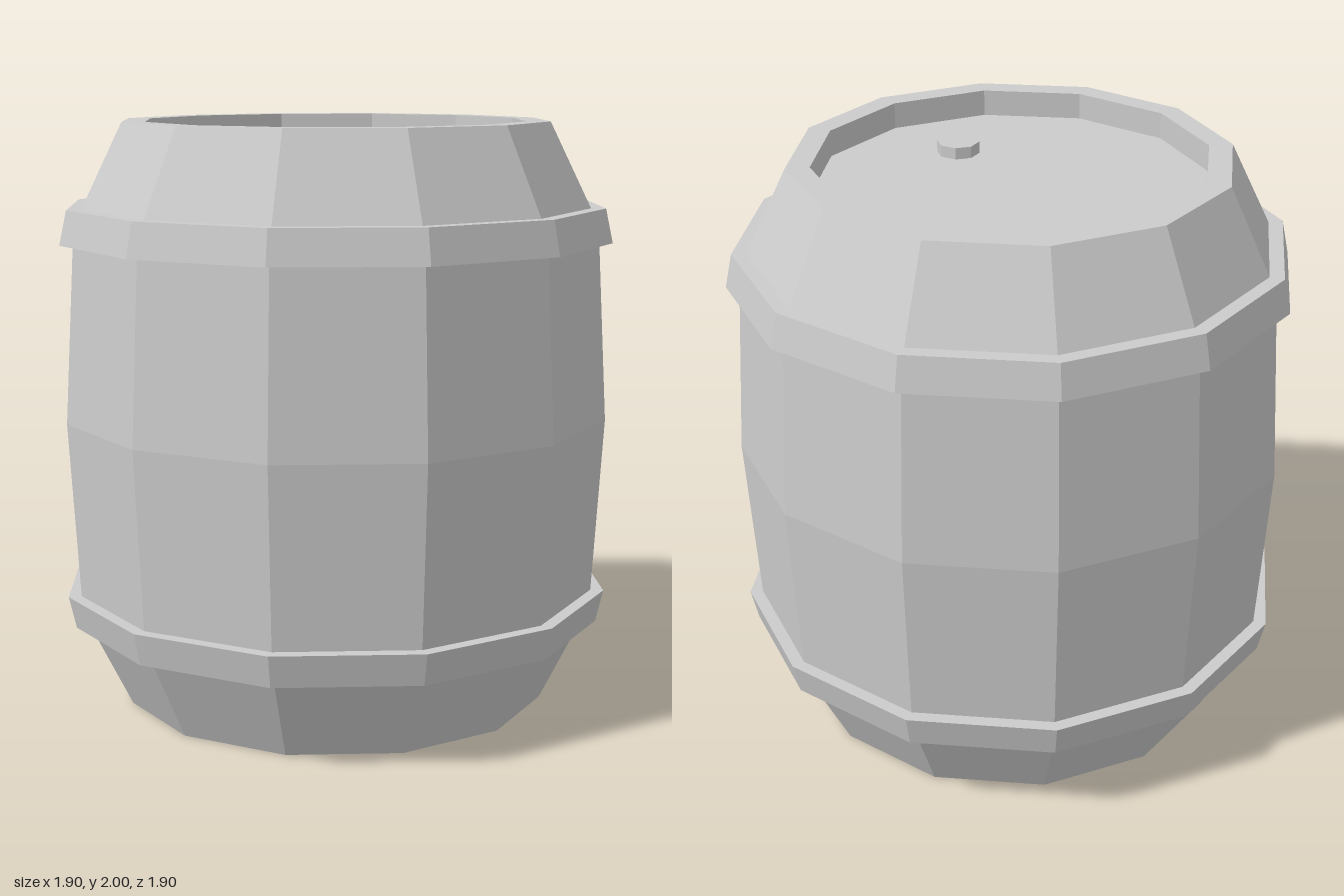
import * as THREE from 'three';

const SIDES = 12;

export function createModel() {
  const group = new THREE.Group();
  group.name = 'barrel';
  const material = new THREE.MeshStandardMaterial({ color: 0xcccccc, flatShading: true });

  const add = (name, geometry) => {
    const mesh = new THREE.Mesh(geometry, material);
    mesh.name = name;
    group.add(mesh);
    return mesh;
  };

  // Faceted solid of revolution from [radius, height] pairs
  const turned = (profile) =>
    new THREE.LatheGeometry(profile.map(([r, y]) => new THREE.Vector2(r, y)), SIDES);

  // Bulging body with a recessed head at each end
  add('body', turned([
    [0, 0.09], [0.655, 0.09], [0.655, 0], [0.735, 0],
    [0.902, 0.34], [0.94, 1], [0.902, 1.66],
    [0.735, 2], [0.655, 2], [0.655, 1.91], [0, 1.91],
  ]));

  // Tapered hoops, wider towards the middle of the barrel
  add('lowerHoop', turned([
    [0.85, 0.29], [0.925, 0.29], [0.95, 0.4], [0.85, 0.4], [0.85, 0.29],
  ]));
  add('upperHoop', turned([
    [0.85, 1.6], [0.95, 1.6], [0.925, 1.715], [0.85, 1.715], [0.85, 1.6],
  ]));

  // Bung standing on the upper head
  add('bung', new THREE.CylinderGeometry(0.072, 0.072, 0.06, 8)).position.set(0.33, 1.92, 0.03);

  return group;
}
